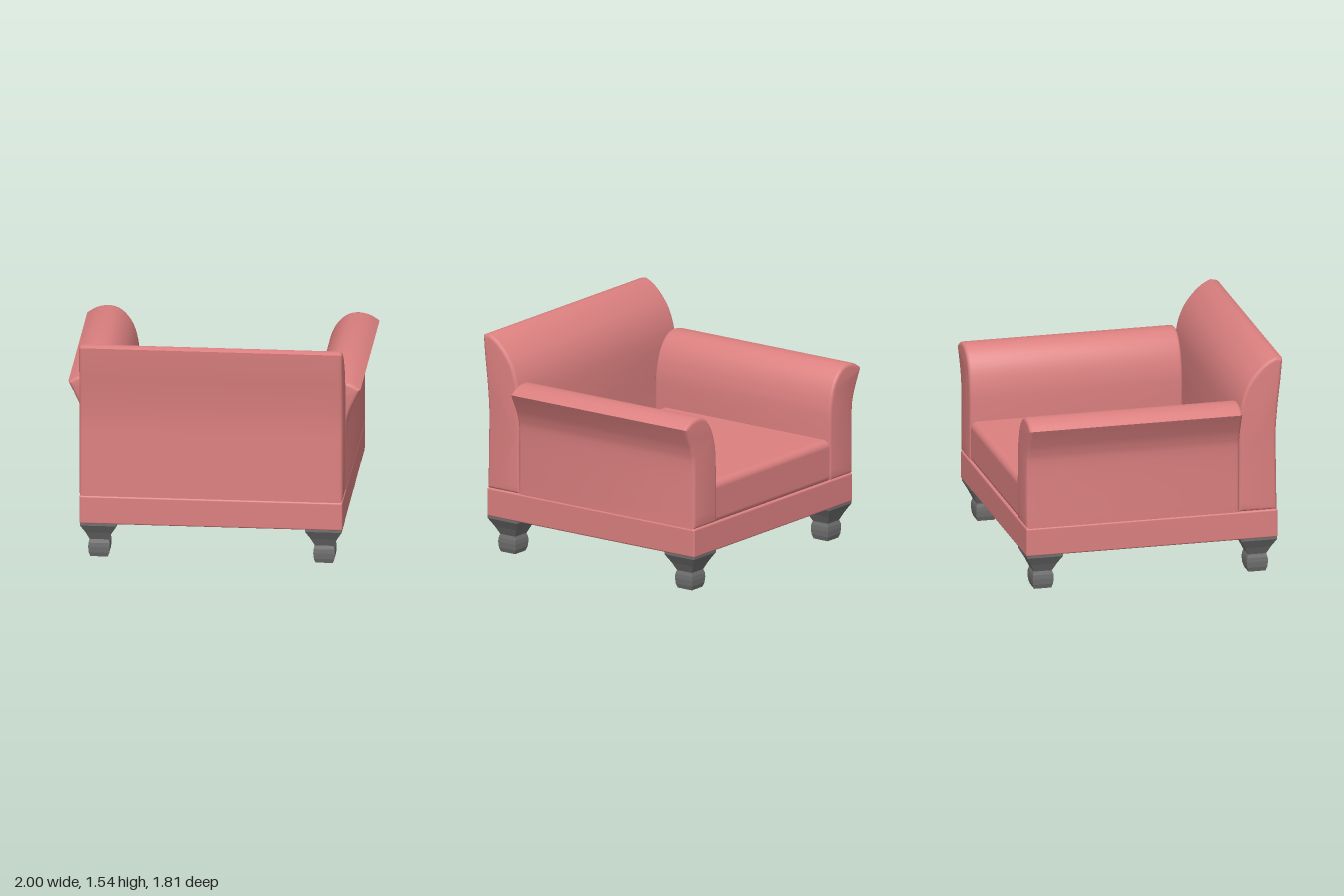
import * as THREE from 'three';
import { toCreasedNormals } from 'three/addons/utils/BufferGeometryUtils.js';
import { RoundedBoxGeometry } from 'three/addons/geometries/RoundedBoxGeometry.js';

const fabric = new THREE.MeshStandardMaterial({ color: 0xdc8080 });
const legGrey = new THREE.MeshStandardMaterial({ color: 0x707070, flatShading: true });

// Outline made of smooth runs of points that meet in corners
function outline(...runs) {
  const points = runs.flatMap((run) =>
    new THREE.SplineCurve(run.map(([x, y]) => new THREE.Vector2(x, y))).getPoints((run.length - 1) * 4));
  return new THREE.Shape(points.filter((p, i) => i === 0 || p.distanceTo(points[i - 1]) > 1e-4));
}

// Padded slab: the outline extruded along z from 0 to depth, with softened rims
function padded(shape, depth) {
  const bevel = 0.022;
  const geo = new THREE.ExtrudeGeometry(shape, {
    depth: depth - 2 * bevel, bevelEnabled: true, bevelSize: bevel,
    bevelThickness: bevel, bevelOffset: -bevel, bevelSegments: 3,
  });
  geo.translate(0, 0, bevel);
  return toCreasedNormals(geo, 0.75);
}

function add(group, name, geo, material, x = 0, y = 0, z = 0) {
  const mesh = new THREE.Mesh(geo, material);
  mesh.name = name;
  mesh.position.set(x, y, z);
  group.add(mesh);
  return mesh;
}

export function createModel() {
  const chair = new THREE.Group();
  chair.name = 'armchair';

  // Base frame and seat cushion
  add(chair, 'base', new RoundedBoxGeometry(1.8, 0.2, 1.77, 3, 0.012), fabric, 0, 0.355, -0.015);
  add(chair, 'seatCushion', new RoundedBoxGeometry(1.4, 0.3, 1.435, 4, 0.05), fabric, 0, 0.588, -0.175);

  // Arms flaring outwards at the top
  const armShape = outline(
    [[0.9, 0.455], [0.9, 0.88], [0.918, 1.0], [0.955, 1.09], [1.0, 1.18]],
    [[1.0, 1.18], [0.93, 1.222], [0.84, 1.235], [0.76, 1.205], [0.69, 1.12], [0.652, 1.0], [0.64, 0.85], [0.64, 0.455]],
  );
  for (const side of [1, -1]) {
    const geo = padded(armShape, 1.5);
    geo.translate(0, 0, -0.9);
    if (side < 0) {
      // Turn the arm round, then slide it back to the same depth
      geo.rotateY(Math.PI);
      geo.translate(0, 0, -0.3);
    }
    add(chair, side > 0 ? 'leftArm' : 'rightArm', geo, fabric);
  }

  // Backrest, its profile drawn as (z, y) and swept across x
  const backShape = outline(
    [[0.865, 0.455], [0.86, 0.8], [0.858, 1.0], [0.872, 1.2], [0.892, 1.38], [0.905, 1.53]],
    [[0.905, 1.53], [0.875, 1.54], [0.84, 1.538], [0.765, 1.49], [0.685, 1.4], [0.635, 1.3],
      [0.608, 1.18], [0.6, 1.0], [0.6, 0.8], [0.595, 0.455]],
  );
  const backGeo = padded(backShape, 1.8);
  backGeo.rotateY(-Math.PI / 2);
  add(chair, 'backrest', backGeo, fabric, 0.9);

  // Square legs, given as half width and height
  const legProfile = [[0, 0], [0.06, 0], [0.07, 0.03], [0.074, 0.07], [0.072, 0.1], [0.064, 0.125],
    [0.09, 0.18], [0.125, 0.24], [0.125, 0.26]]
    .map(([half, y]) => new THREE.Vector2(half * Math.SQRT2, y));
  const legGeo = new THREE.LatheGeometry(legProfile, 4);
  legGeo.rotateY(Math.PI / 4);
  for (const x of [0.77, -0.77]) {
    for (const z of [0.74, -0.768]) {
      add(chair, `${z > 0 ? 'back' : 'front'}${x > 0 ? 'Left' : 'Right'}Leg`, legGeo, legGrey, x, 0, z);
    }
  }
  return chair;
}
